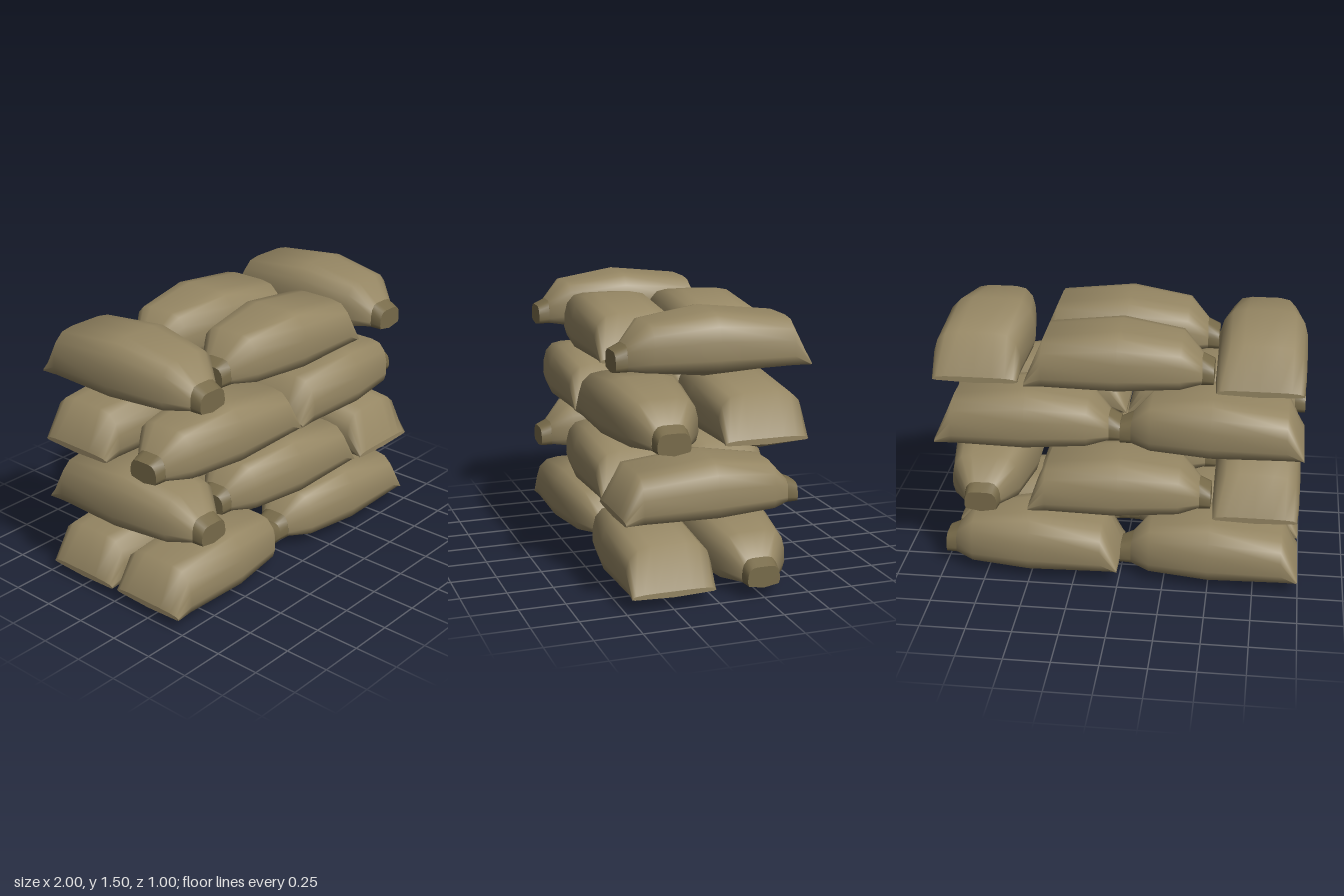
import * as THREE from 'three';

// Right half of a cross-section: x as a share of half width, y as a share of the height above the lower edge
const HALF = [[0.93, 0], [1, 0.2], [0.98, 0.52], [0.9, 0.77], [0.7, 0.95], [0.4, 1]];

// One closed ring, counterclockwise seen from +z, at distance s from the middle (neck side negative)
function ring([s, w, keel, edge, top]) {
  const at = ([x, y], side) => [side * x * w, edge + y * (top - edge), -s];
  return [
    [0, keel, -s],
    ...HALF.map((p) => at(p, 1)),
    [0, top, -s],
    ...HALF.map((p) => at(p, -1)).reverse(),
  ];
}

// Smooth skin through the sections, closed by flat caps
function loft(sections) {
  const rings = sections.map(ring);
  const n = rings[0].length;
  const last = rings.length - 1;
  const index = [];
  for (let i = 0; i < last; i++) {
    for (let j = 0; j < n; j++) {
      const a = i * n + j, b = i * n + ((j + 1) % n);
      index.push(a, a + n, b, b, a + n, b + n);
    }
  }
  const points = [...rings, rings[0], rings[last]].flat();
  const front = rings.length * n, back = front + n;
  for (let j = 1; j < n - 1; j++) {
    index.push(front, front + j, front + j + 1, back, back + j + 1, back + j);
  }
  const geometry = new THREE.BufferGeometry();
  geometry.setAttribute('position', new THREE.Float32BufferAttribute(points.flat(), 3));
  geometry.setIndex(index);
  geometry.computeVertexNormals();
  return geometry;
}

export function createModel() {
  const model = new THREE.Group();
  model.name = 'sandbagWall';

  const burlap = new THREE.MeshStandardMaterial({ color: 0x958663 });
  burlap.name = 'burlap';
  const darkBurlap = new THREE.MeshStandardMaterial({ color: 0x786b4a });
  darkBurlap.name = 'darkBurlap';

  // Sections: distance, half width, keel height, lower edge height, top height
  const bodyGeometry = loft([
    [-0.44, 0.1, 0.055, 0.07, 0.19],
    [-0.33, 0.19, 0.035, 0.07, 0.305],
    [0, 0.242, 0, 0.065, 0.353],
    [0.4, 0.235, 0.02, 0.07, 0.308],
    [0.495, 0.228, 0.058, 0.066, 0.09],
  ]);
  const neckGeometry = loft([
    [-0.5, 0.09, 0.05, 0.065, 0.165],
    [-0.435, 0.1, 0.052, 0.067, 0.195],
  ]);

  // Neck direction as a turn about y
  const FRONT = 0, BACK = Math.PI, LEFT = Math.PI / 2, RIGHT = -Math.PI / 2;

  function addBag(x, y, z, turn) {
    const bag = new THREE.Group();
    bag.name = 'sandbag';
    const body = new THREE.Mesh(bodyGeometry, burlap);
    body.name = 'bagBody';
    const neck = new THREE.Mesh(neckGeometry, darkBurlap);
    neck.name = 'bagNeck';
    bag.add(body, neck);
    bag.position.set(x, y, z);
    bag.rotation.y = turn;
    model.add(bag);
  }

  // Courses of four lengthwise bags: x, base y, z, neck direction
  const lengthwise = [
    [-0.5, 0.005, 0.245, LEFT], [0.5, 0.005, 0.245, RIGHT],
    [-0.5, 0, -0.245, LEFT], [0.5, 0.005, -0.245, LEFT],
    [-0.5, 0.755, 0.25, RIGHT], [0.5, 0.757, 0.25, LEFT],
    [-0.5, 0.755, -0.25, LEFT], [0.5, 0.765, -0.25, RIGHT],
  ];
  // Courses with two middle bags between two crosswise bags
  const crosswise = [
    [-0.75, 0.393, 0, FRONT], [0.75, 0.387, 0, BACK],
    [0, 0.38, 0.25, RIGHT], [0, 0.376, -0.25, RIGHT],
    [-0.75, 1.138, 0, FRONT], [0.75, 1.147, 0, FRONT],
    [0, 1.124, 0.25, RIGHT], [0, 1.12, -0.25, RIGHT],
  ];
  for (const placement of [...lengthwise, ...crosswise]) addBag(...placement);

  return model;
}
